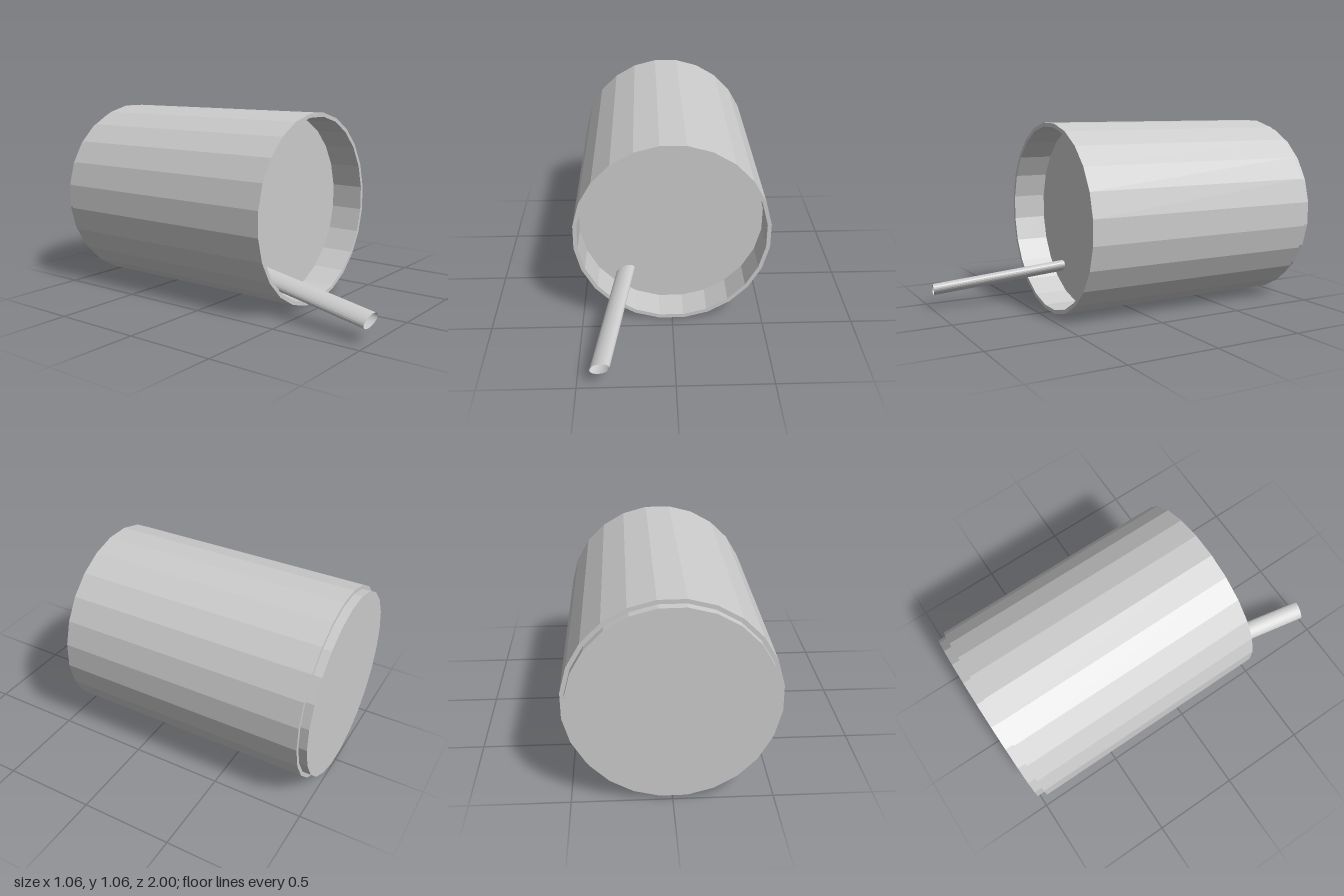
import * as THREE from 'three';

const SIDES = 24;
const CENTRE_Y = 0.53;
const OUTER = 0.533, INNER = 0.5115;   // corner radii of the shell and the core
const FRONT = 0.43, RECESS = 0.24;     // z of the open rim and of the sunken face
const SHELL_BACK = -0.955, BACK = -1;
const START = THREE.MathUtils.degToRad(7);

const material = new THREE.MeshStandardMaterial({
  color: 0xcccccc, flatShading: true, side: THREE.DoubleSide,
});

// Revolves [radius, z] pairs about the cup's horizontal axis
function turned(name, profile) {
  const points = profile.map(([r, z]) => new THREE.Vector2(r, z));
  const geometry = new THREE.LatheGeometry(points, SIDES, START);
  geometry.rotateX(Math.PI / 2);
  const mesh = new THREE.Mesh(geometry, material);
  mesh.name = name;
  mesh.position.y = CENTRE_Y;
  return mesh;
}

// Leaning oval straw with a plug sunk inside its open end
function makeStraw() {
  const tip = new THREE.Vector3(-0.38, 0.112, 0.99);
  const base = new THREE.Vector3(-0.26, 0.198, 0.24);
  const length = tip.distanceTo(base);
  const hidden = 0.05, plugDepth = 0.18;
  const oval = (geometry) => geometry.scale(0.056, 0.031, 1)
    .rotateZ(THREE.MathUtils.degToRad(24));

  const straw = new THREE.Group();
  straw.name = 'straw';
  straw.position.copy(base);
  straw.lookAt(tip);

  const tubeGeometry = new THREE.CylinderGeometry(1, 1, length + hidden, SIDES, 1, true);
  tubeGeometry.rotateX(Math.PI / 2).translate(0, 0, (length - hidden) / 2);
  const tube = new THREE.Mesh(oval(tubeGeometry), material);
  tube.name = 'strawTube';

  const plug = new THREE.Mesh(oval(new THREE.CircleGeometry(1, SIDES)), material);
  plug.name = 'strawPlug';
  plug.position.z = length - plugDepth;

  straw.add(tube, plug);
  return straw;
}

export function createModel() {
  const model = new THREE.Group();
  model.name = 'cupWithStraw';

  // Outer wall with its back step, front rim and visible inner wall
  model.add(turned('shell', [
    [INNER, SHELL_BACK], [OUTER, SHELL_BACK], [OUTER, FRONT],
    [INNER, FRONT], [INNER, RECESS],
  ]));

  // Solid filling: sunken at the front, standing proud as a foot at the back
  model.add(turned('core', [
    [0, BACK], [INNER, BACK], [INNER, SHELL_BACK],
  ]));
  model.add(turned('sunkenFace', [[INNER, RECESS], [0, RECESS]]));

  model.add(makeStraw());
  return model;
}
